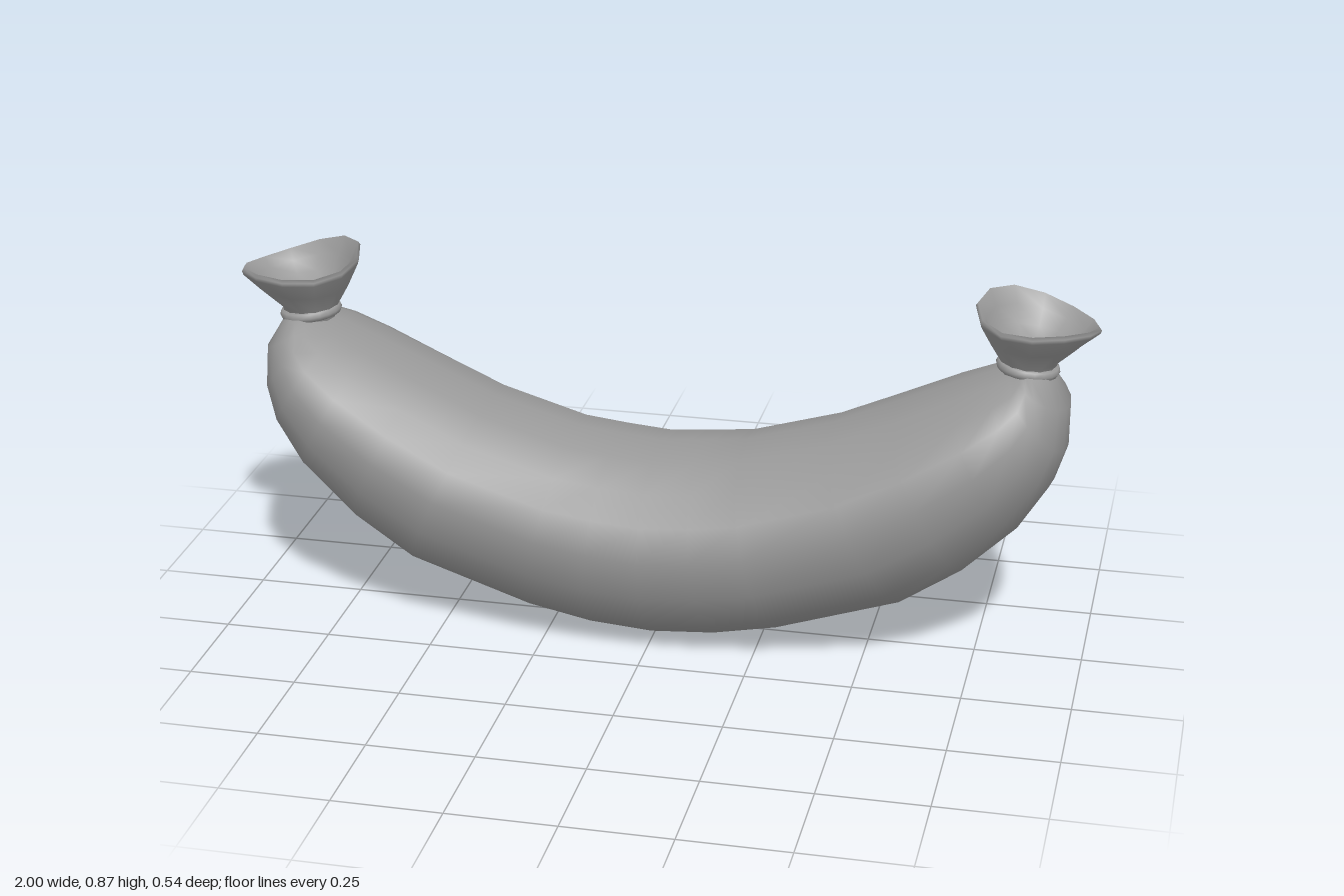
import * as THREE from 'three';

const material = new THREE.MeshStandardMaterial({ color: 0x999999, side: THREE.DoubleSide });

// Joins closed rings of equal point count into one smooth skin.
function loft(name, rings) {
  const n = rings[0].length;
  const index = [];
  for (let i = 0; i < rings.length - 1; i++) {
    for (let j = 0; j < n; j++) {
      const k = (j + 1) % n;
      const a = i * n + j, b = i * n + k, c = a + n, d = b + n;
      index.push(a, b, c, b, d, c);
    }
  }
  const geometry = new THREE.BufferGeometry();
  geometry.setAttribute('position', new THREE.Float32BufferAttribute(rings.flat(2), 3));
  geometry.setIndex(index);
  geometry.computeVertexNormals();
  const mesh = new THREE.Mesh(geometry, material);
  mesh.name = name;
  return mesh;
}

// Curved body: each section has a top point, a bottom point and a half width.
function createBody() {
  const half = [
    // topX, topY, bottomX, bottomY, halfWidth
    [0, 0.467, 0, 0.001, 0.268],
    [0.1, 0.475, 0.15, 0.012, 0.268],
    [0.2, 0.486, 0.3, 0.042, 0.266],
    [0.4, 0.545, 0.59, 0.138, 0.262],
    [0.55, 0.611, 0.73, 0.233, 0.253],
    [0.68, 0.67, 0.85, 0.35, 0.234],
    [0.76, 0.702, 0.915, 0.455, 0.204],
    [0.8, 0.714, 0.942, 0.54, 0.165],
    [0.815, 0.719, 0.942, 0.64, 0.122],
    [0.825, 0.722, 0.9, 0.712, 0.075],
    [0.85, 0.725, 0.86, 0.724, 0.01],
  ];
  const mirrored = half.slice(1).reverse().map(([tx, ty, bx, by, w]) => [-tx, ty, -bx, by, w]);
  const sides = 16;
  const rings = [...mirrored, ...half].map(([tx, ty, bx, by, w]) =>
    Array.from({ length: sides }, (_, j) => {
      const a = (j / sides) * Math.PI * 2;
      // the widest line sits a little above the middle of the section
      const c = Math.cos(a) / 2 + 0.07 * Math.sin(a) ** 4;
      return [(tx + bx) / 2 + (tx - bx) * c, (ty + by) / 2 + (ty - by) * c, w * Math.sin(a)];
    }));
  return loft('body', rings);
}

// Flared, hollow casing end with a wavy rim; s is the side (+1 or -1).
function createFlare(s) {
  const profile = [
    // centreX, radius, height, how much of the rim wave applies
    [0.843, 0.058, 0.705, 0],
    [0.843, 0.065, 0.736, 0],
    [0.853, 0.105, 0.784, 0.3],
    [0.86, 0.138, 0.828, 0.9],
    [0.86, 0.141, 0.838, 1],
    [0.86, 0.136, 0.845, 1],
    [0.859, 0.116, 0.815, 0.7],
    [0.855, 0.09, 0.785, 0.3],
    [0.85, 0.055, 0.762, 0],
    [0.848, 0.001, 0.754, 0],
  ];
  const sides = 12;
  const rings = profile.map(([cx, r, y, wave]) =>
    Array.from({ length: sides }, (_, j) => {
      const a = (-s * j / sides) * Math.PI * 2;
      const lift = -0.019 * Math.cos(a) - 0.004 * Math.sin(a) + 0.013 * Math.sin(2 * a);
      return [s * (cx + r * Math.cos(a)), y + wave * lift, r * Math.sin(a)];
    }));
  return loft('flare', rings);
}

// Rounded band tied around the neck.
function createTie(s) {
  const geometry = new THREE.TorusGeometry(0.06, 0.013, 8, 20);
  geometry.rotateX(Math.PI / 2);
  const tie = new THREE.Mesh(geometry, material);
  tie.name = 'tie';
  tie.position.set(s * 0.842, 0.722, 0);
  tie.rotation.z = -s * 0.12;
  return tie;
}

export function createModel() {
  const model = new THREE.Group();
  model.name = 'sausage';
  model.add(createBody());
  for (const s of [1, -1]) {
    const end = new THREE.Group();
    end.name = s > 0 ? 'leftEnd' : 'rightEnd';
    end.add(createFlare(s), createTie(s));
    model.add(end);
  }
  return model;
}
